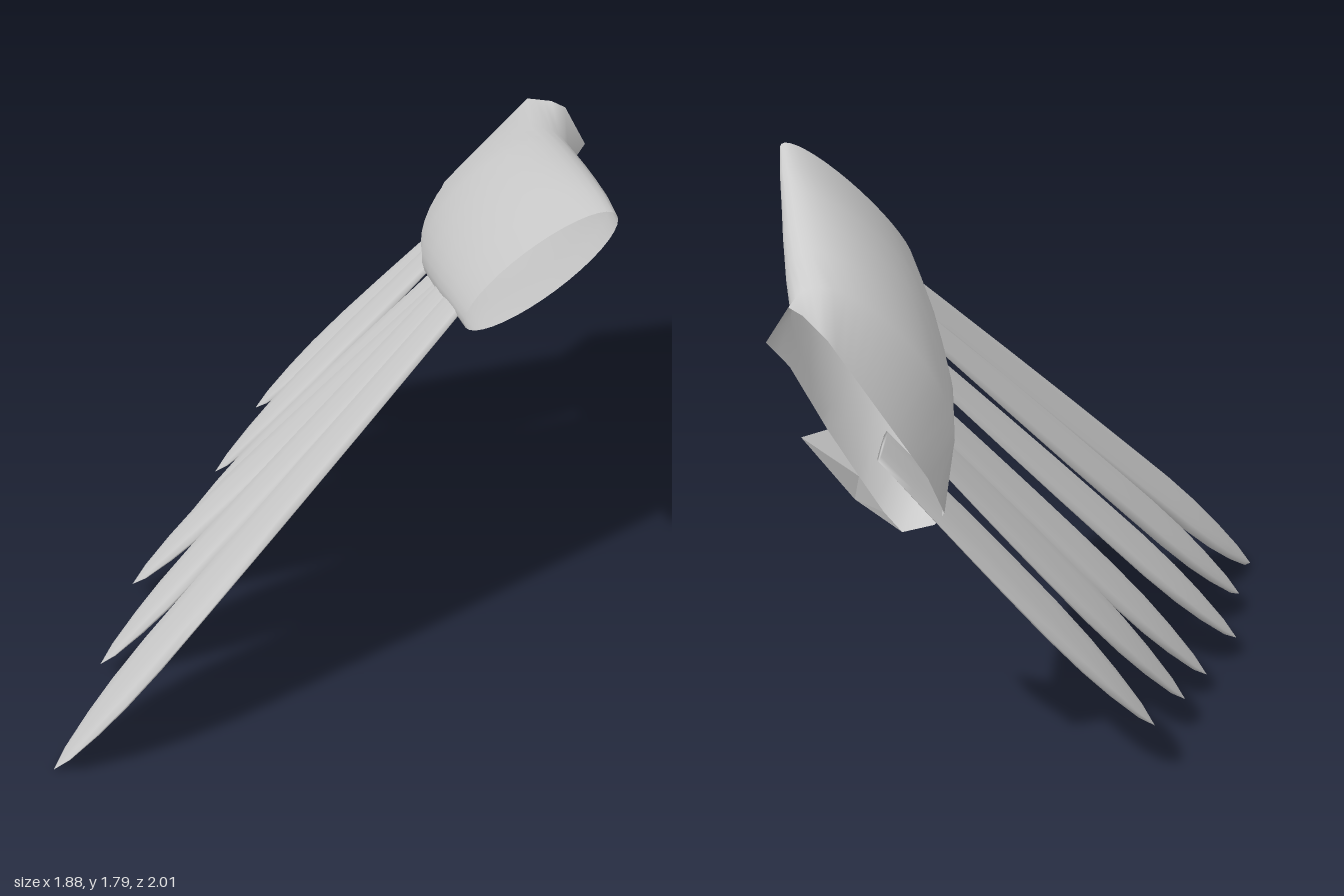
import * as THREE from 'three';

// Skin a list of rings (equal point counts); closing caps are made by rings of zero size
function loft(rings, material) {
  const n = rings[0].length, index = [];
  for (let i = 0; i < rings.length - 1; i++) {
    for (let j = 0; j < n; j++) {
      const k = (j + 1) % n;
      const a = i * n + j, b = i * n + k, c = a + n, d = b + n;
      index.push(a, b, c, b, d, c);
    }
  }
  const geometry = new THREE.BufferGeometry().setFromPoints(rings.flat());
  geometry.setIndex(index);
  geometry.computeVertexNormals();
  return new THREE.Mesh(geometry, material);
}

const SIDES = 36;

// Ragged rear rim of the sleeve: [angle, x, y, z], straight between corners
const RIM = [
  [0, 0.83, 1.5, -0.77], [30, 0.76, 1.45, -0.89], [150, 0.48, 1.05, -1],
  [170, 0.425, 0.91, -0.92], [180, 0.45, 0.85, -0.85], [200, 0.55, 0.838, -0.87],
  [220, 0.6, 0.88, -0.8], [250, 0.67, 0.97, -0.71], [270, 0.76, 1.1, -0.63],
  [320, 0.87, 1.3, -0.61], [340, 0.94, 1.39, -0.65], [350, 0.87, 1.51, -0.7],
  [360, 0.83, 1.5, -0.77],
];

function rimPoint(angle) {
  const k = RIM.findIndex((p, i) => angle >= p[0] && angle < RIM[i + 1][0]);
  const [a0, ...p] = RIM[k], [a1, ...q] = RIM[k + 1];
  return new THREE.Vector3(...p).lerp(new THREE.Vector3(...q), (angle - a0) / (a1 - a0));
}

// Tilted ellipse across the sleeve, leaning forward at the top and on the outer side
function ellipse([z, x, y, a, b, tilt]) {
  const t = THREE.MathUtils.degToRad(tilt);
  return Array.from({ length: SIDES }, (_, j) => {
    const f = (j / SIDES) * Math.PI * 2;
    const u = a * Math.cos(f), v = b * Math.sin(f);
    const dx = u * Math.cos(t) - v * Math.sin(t), dy = u * Math.sin(t) + v * Math.cos(t);
    return new THREE.Vector3(x + dx, y + dy, z + u * 0.08 - v * 0.4);
  });
}

function makeSleeve(material) {
  const rim = Array.from({ length: SIDES }, (_, j) => rimPoint((j * 360) / SIDES));
  const sections = [ // z, centre x, centre y, half length, half width, tilt
    [-0.53, 0.61, 1.23, 0.352, 0.163, 53],
    [-0.3, 0.605, 1.31, 0.35, 0.155, 48],
    [-0.1, 0.61, 1.38, 0.342, 0.14, 46],
    [0.1, 0.615, 1.45, 0.333, 0.12, 45],
    [0.3, 0.625, 1.515, 0.32, 0.095, 44],
    [0.505, 0.632, 1.573, 0.307, 0.07, 44],
  ];
  const mesh = loft([rim, ...sections.map(ellipse)], material);
  mesh.name = 'sleeve';
  return mesh;
}

// Turned-out tab along the lower rim
function makeFlap(material) {
  const crease = [270, 250, 220, 200].map(rimPoint);
  const outer = [new THREE.Vector3(0.84, 1.05, -0.54), new THREE.Vector3(0.68, 0.862, -0.61)];
  const [g, c1, c2, j] = crease, [h, i] = outer;
  const geometry = new THREE.BufferGeometry().setFromPoints([g, c1, h, c1, i, h, c1, c2, i, c2, j, i]);
  geometry.computeVertexNormals();
  const mesh = new THREE.Mesh(geometry, material);
  mesh.name = 'rimFlap';
  return mesh;
}

// Thin leaf-shaped feather with sharp side edges, its front edge rolled upwards
function makeFeather(root, tip, rootWidth, width, material) {
  const start = new THREE.Vector3(...root), end = new THREE.Vector3(...tip);
  const length = start.distanceTo(end);
  const d = end.clone().sub(start).normalize();
  const roll = THREE.MathUtils.degToRad(10);
  const w = new THREE.Vector3(0, 0, 1).projectOnPlane(d).normalize().applyAxisAngle(d, roll);
  const n = d.clone().cross(w);
  const shaft = length - 0.7;
  const profile = [ // distance from root, half width, half thickness
    [0, 0, 0], [0, rootWidth, 0.01],
    ...[0.25, 0.5, 0.75, 1].map((s) => [
      shaft * s, THREE.MathUtils.lerp(rootWidth, width, Math.sin(s * Math.PI / 2)), 0.01 + 0.009 * s]),
    [length - 0.5, width, 0.02], [length - 0.33, width * 0.88, 0.019],
    [length - 0.2, width * 0.68, 0.015], [length - 0.07, width * 0.36, 0.008], [length, 0, 0],
  ];
  const section = [[1, 0], [0.8, 0.8], [0.35, 1], [-0.35, 1], [-0.8, 0.8],
    [-1, 0], [-0.8, -0.8], [-0.35, -1], [0.35, -1], [0.8, -0.8]];
  const rings = profile.map(([s, half, thick]) => section.map(([p, q]) => start.clone()
    .addScaledVector(d, s).addScaledVector(w, half * p).addScaledVector(n, thick * q)));
  return loft(rings, material);
}

export function createModel() {
  const group = new THREE.Group();
  group.name = 'featheredSleeve';
  const grey = new THREE.MeshStandardMaterial({ color: 0xcccccc, side: THREE.DoubleSide });

  group.add(makeSleeve(grey), makeFlap(grey));

  // Fan of feathers, front to back: root, tip, half width at root and at widest
  const feathers = [
    [[0.58, 1.475, 0.135], [-0.94, 0, 0.97], 0.11, 0.174],
    [[0.54, 1.39, 0.005], [-0.8, 0.05, 0.51], 0.1, 0.15],
    [[0.51, 1.26, -0.115], [-0.7, 0.05, 0.08], 0.107, 0.152],
    [[0.51, 1.16, -0.335], [-0.53, 0.05, -0.24], 0.112, 0.146],
    [[0.49, 1.09, -0.59], [-0.4, 0.09, -0.53], 0.108, 0.14],
    [[0.6, 1.09, -0.79], [-0.24, 0.15, -0.86], 0.125, 0.14],
  ];
  feathers.forEach(([root, tip, rootWidth, width], i) => {
    const feather = makeFeather(root, tip, rootWidth, width, grey);
    feather.name = `feather${i + 1}`;
    group.add(feather);
  });
  return group;
}
